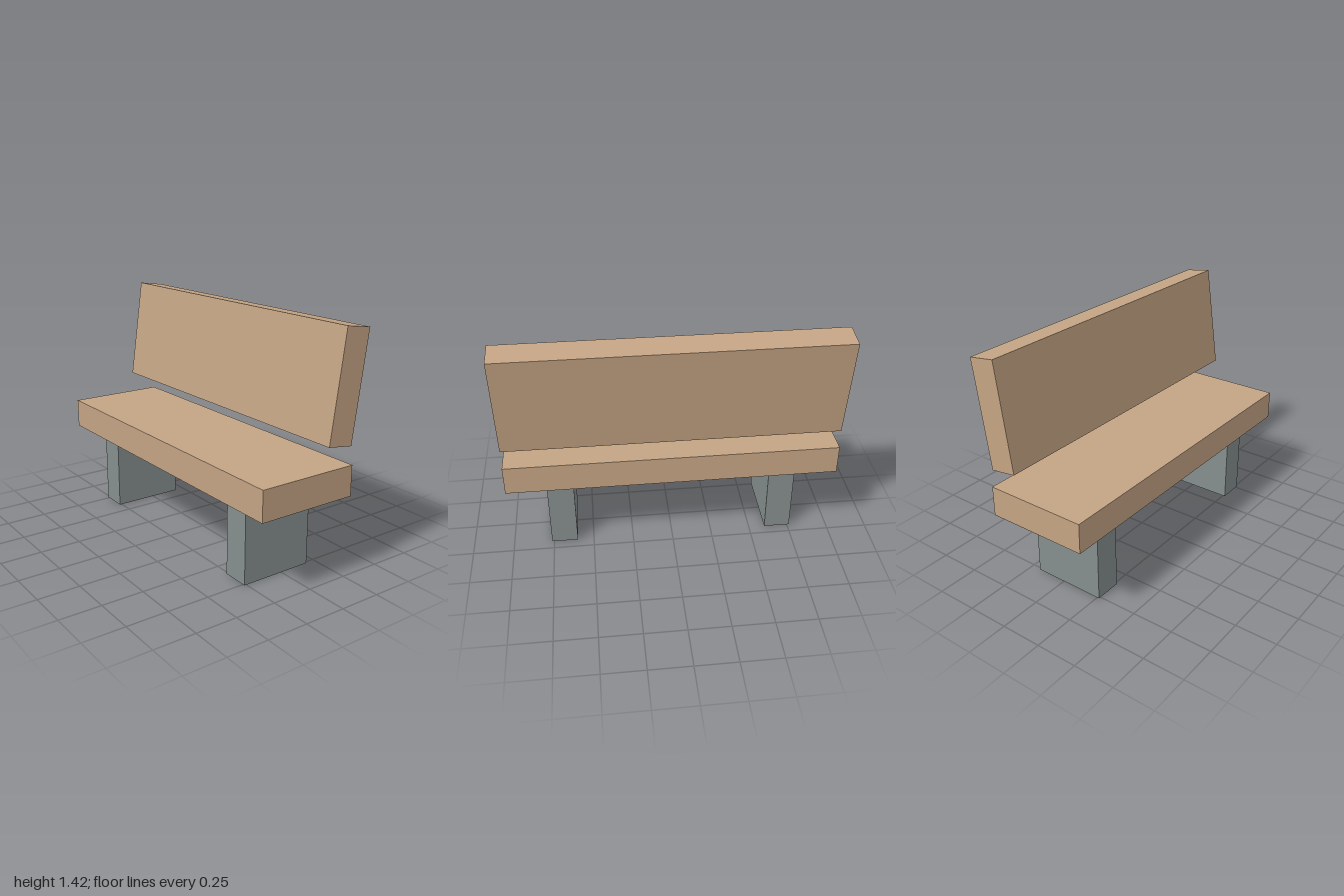
import * as THREE from 'three';

export function createModel() {
  const bench = new THREE.Group();
  bench.name = 'bench';
  const wood = new THREE.MeshStandardMaterial({ color: 0xc4a484 });
  const stone = new THREE.MeshStandardMaterial({ color: 0x858f8d });

  const addBox = (name, size, position, material) => {
    const mesh = new THREE.Mesh(new THREE.BoxGeometry(...size), material);
    mesh.name = name;
    mesh.position.set(...position);
    bench.add(mesh);
    return mesh;
  };

  // Seat slab
  addBox('seat', [2, 0.18, 0.617], [0, 0.567, 0.037], wood);

  // Backrest, leaning backwards and floating clear of the seat
  const backrest = addBox('backrest', [2, 0.637, 0.162], [0, 1.094, -0.219], wood);
  backrest.rotation.x = -0.14;

  // Pair of block legs
  for (const side of [-1, 1]) {
    addBox(side > 0 ? 'leftLeg' : 'rightLeg', [0.162, 0.477, 0.452], [side * 0.682, 0.2385, 0.037], stone);
  }
  return bench;
}
